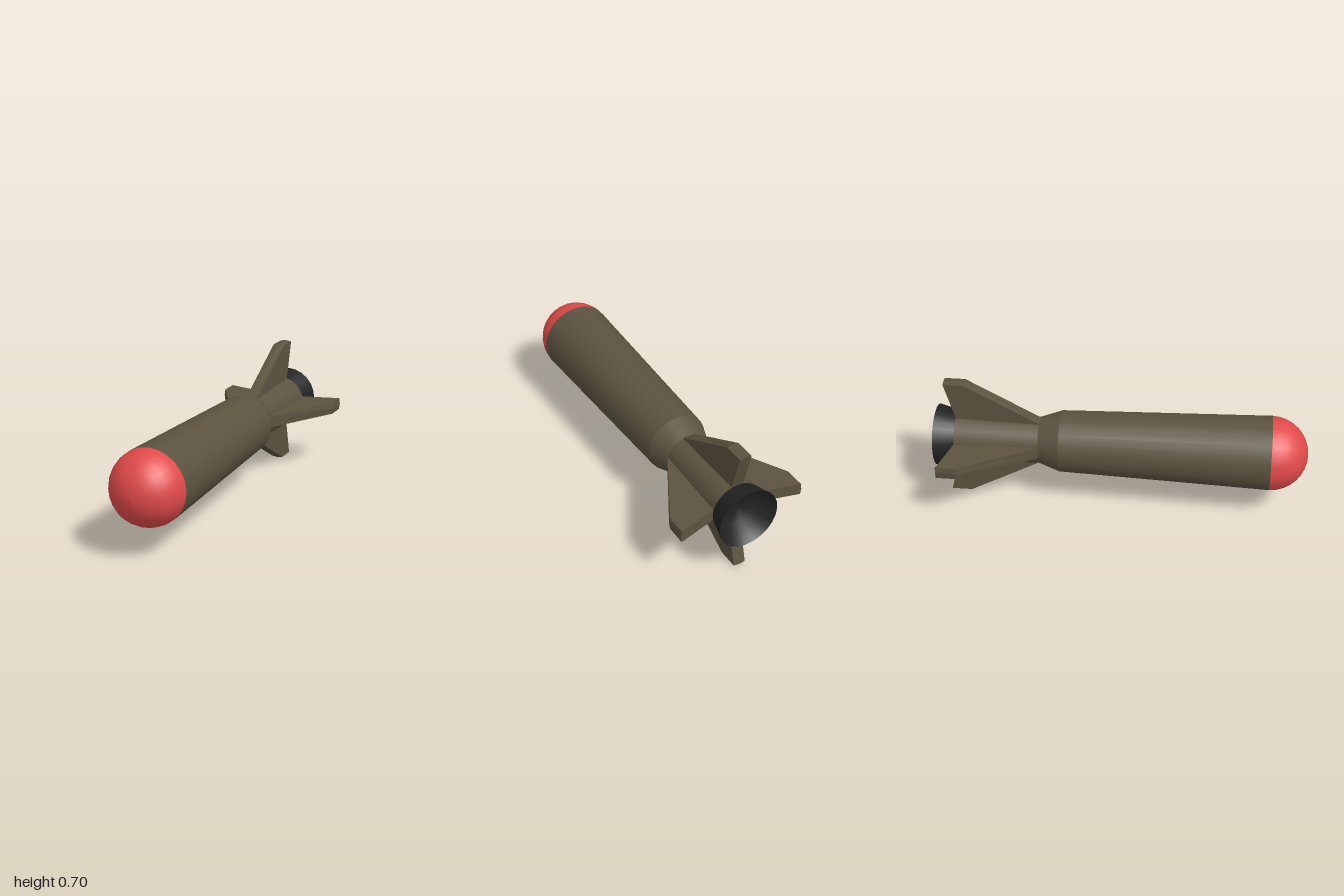
import * as THREE from 'three';

const AXIS_Y = 0.352;

export function createModel() {
  const model = new THREE.Group();
  model.name = 'rocket';

  const mat = (name, color) => {
    const m = new THREE.MeshStandardMaterial({ color });
    m.name = name;
    return m;
  };
  const olive = mat('olive', 0x5c5340);
  const red = mat('red', 0xe04a4a);
  const black = mat('black', 0x222222);

  const add = (name, geometry, material) => {
    const mesh = new THREE.Mesh(geometry, material);
    mesh.name = name;
    mesh.position.y = AXIS_Y;
    model.add(mesh);
    return mesh;
  };

  // Round section along z; profile is a list of [radius, z]
  const turned = (name, profile, material) => {
    const points = profile.map(([r, z]) => new THREE.Vector2(r, z));
    return add(name, new THREE.LatheGeometry(points, 24).rotateX(Math.PI / 2), material);
  };

  // Hemispherical nose
  const nose = [];
  for (let i = 0; i <= 8; i++) {
    const a = (i / 8) * Math.PI / 2;
    nose.push([0.2 * Math.cos(a), 0.8 + 0.2 * Math.sin(a)]);
  }
  turned('nose', nose, red);

  // Body sections, kept separate for crisp joints
  turned('body', [[0.167, -0.325], [0.2, 0.8]], olive);
  turned('shoulder', [[0.126, -0.44], [0.167, -0.325]], olive);
  turned('tail', [[0.137, -0.89], [0.126, -0.44]], olive);

  // Flared nozzle with a hollow bell
  turned('nozzle', [[0.167, -1], [0.137, -0.89]], black);
  turned('nozzleBell', [[0, -0.9], [0.09, -0.91], [0.167, -1]], black);

  // Four swept fins with a slight ridge along the outer edge
  const outline = [[0.08, -0.4], [0.126, -0.44], [0.346, -0.835], [0.346, -0.945], [0.137, -0.89], [0.08, -0.875]];
  const finShape = new THREE.Shape(outline.map(([r, z]) => new THREE.Vector2(r, z)));
  const fin = new THREE.ExtrudeGeometry(finShape, { depth: 0.066, steps: 2, bevelEnabled: false });
  fin.translate(0, 0, -0.033);
  const p = fin.attributes.position;
  for (let i = 0; i < p.count; i++) {
    if (Math.abs(p.getZ(i)) < 0.001 && p.getX(i) > 0.3) p.setX(i, 0.351);
  }
  fin.rotateX(Math.PI / 2);
  fin.computeVertexNormals();
  ['leftFin', 'topFin', 'rightFin', 'bottomFin'].forEach((name, i) => {
    add(name, fin, olive).rotation.z = i * Math.PI / 2;
  });

  return model;
}
